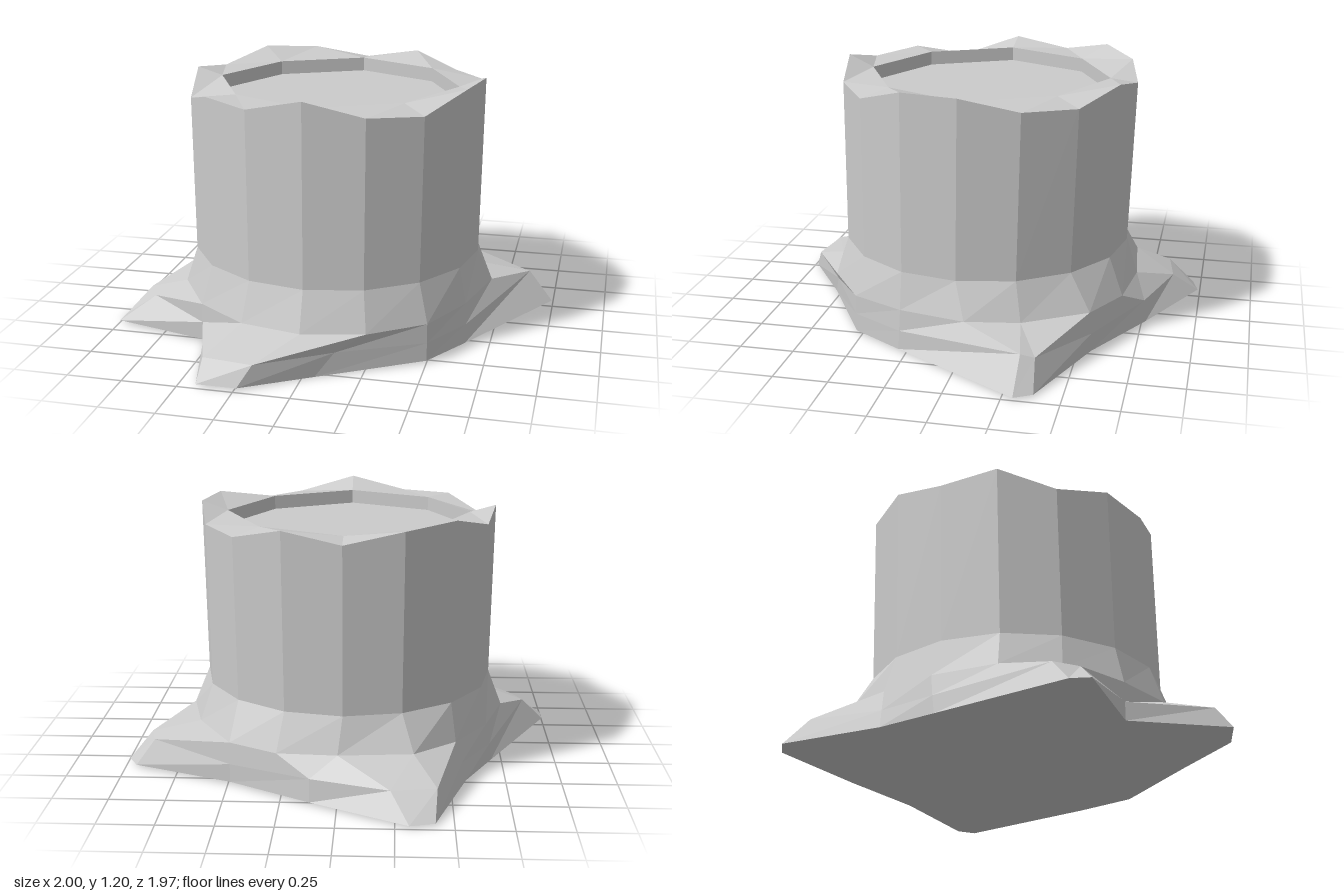
import * as THREE from 'three';

const SIDES = 16;

// Ring of points running counter-clockwise seen from above, starting at the front (+z).
function ring(n, radius, height, cx = -0.02, cz = 0.01) {
  return Array.from({ length: n }, (_, k) => {
    const a = (k / n) * Math.PI * 2;
    const y = Array.isArray(height) ? height[k] : height;
    return [cx + radius * Math.sin(a), y, cz + radius * Math.cos(a)];
  });
}

// Triangles between two rings with equal point counts.
function bridge(a, b) {
  const tris = [];
  a.forEach((p, k) => {
    const n = (k + 1) % a.length;
    tris.push(p, a[n], b[n], p, b[n], b[k]);
  });
  return tris;
}

// Triangles closing a ring towards a centre point.
function cap(a, centre, down = false) {
  return a.flatMap((p, k) => {
    const q = a[(k + 1) % a.length];
    return down ? [q, p, centre] : [p, q, centre];
  });
}

function part(name, tris, material) {
  const geometry = new THREE.BufferGeometry();
  geometry.setAttribute('position', new THREE.Float32BufferAttribute(tris.flat(), 3));
  geometry.computeVertexNormals();
  const mesh = new THREE.Mesh(geometry, material);
  mesh.name = name;
  return mesh;
}

export function createModel() {
  const group = new THREE.Group();
  group.name = 'treeStump';
  const wood = new THREE.MeshStandardMaterial({ color: 0xcccccc, flatShading: true });

  // Footprint with four pointed roots
  const ground = [
    [-0.24, 0.015, 0.98], [0.05, 0.005, 0.78], [0.5, 0.015, 0.53], [0.64, 0.01, 0.29],
    [0.995, 0.015, -0.3], [0.95, 0.015, -0.38], [0.49, 0.015, -0.56], [0.12, 0.015, -0.77],
    [-0.31, 0.015, -0.99], [-0.42, 0.015, -0.96], [-0.57, 0.015, -0.5], [-0.7, 0.015, -0.25],
    [-1, 0.015, 0.32], [-1, 0.015, 0.41], [-0.54, 0.015, 0.53], [-0.42, 0.015, 0.98],
  ];
  // Upper edge of the root tips
  const shoulder = [
    [-0.18, 0.11, 0.94], [0.13, 0.11, 0.74], [0.5, 0.1, 0.53], [0.64, 0.1, 0.285],
    [0.88, 0.16, -0.31], [0.86, 0.14, -0.37], [0.49, 0.1, -0.56], [0.12, 0.12, -0.76],
    [-0.23, 0.12, -0.87], [-0.43, 0.12, -0.84], [-0.55, 0.1, -0.5], [-0.69, 0.1, -0.26],
    [-0.89, 0.14, 0.25], [-0.83, 0.14, 0.36], [-0.54, 0.1, 0.53], [-0.41, 0.11, 0.91],
  ];
  // Collar where the roots meet the trunk
  const collar = [
    [-0.02, 0.19, 0.76], [0.26, 0.19, 0.7], [0.5, 0.19, 0.53], [0.635, 0.2, 0.28],
    [0.72, 0.21, -0.03], [0.66, 0.2, -0.27], [0.49, 0.2, -0.55], [0.27, 0.2, -0.67],
    [0, 0.21, -0.71], [-0.33, 0.21, -0.68], [-0.52, 0.2, -0.5], [-0.67, 0.2, -0.27],
    [-0.76, 0.2, 0.02], [-0.7, 0.2, 0.28], [-0.54, 0.19, 0.53], [-0.3, 0.19, 0.7],
  ];
  const trunkBase = ring(SIDES, 0.675, 0.37, -0.02, 0.02);
  // Uneven sawn edge
  const sawn = ring(SIDES, 0.685, [
    1.2, 1.13, 1.115, 1.19, 1.19, 1.13, 1.12, 1.18,
    1.13, 1.18, 1.2, 1.14, 1.18, 1.09, 1.15, 1.14,
  ], -0.02, 0.005);

  group.add(part('roots', [
    ...bridge(ground, shoulder),
    ...bridge(shoulder, collar),
    ...bridge(collar, trunkBase),
  ], wood));
  group.add(part('underside', cap(ground, [0, 0.01, 0], true), wood));
  group.add(part('trunk', bridge(trunkBase, sawn), wood));

  // Rim from the 16-sided edge to the 8-sided recess
  const lip = ring(8, 0.565, 1.145);
  [1, 3, 5, 7].forEach((k) => { // diagonal corners sit slightly further in
    lip[k][0] = -0.02 + (lip[k][0] + 0.02) * 0.95;
    lip[k][2] = 0.01 + (lip[k][2] - 0.01) * 0.95;
  });
  const rim = [];
  lip.forEach((inner, k) => {
    const next = lip[(k + 1) % 8];
    const [a, b, c] = [sawn[2 * k], sawn[2 * k + 1], sawn[(2 * k + 2) % SIDES]];
    rim.push(a, b, inner, b, c, next, b, next, inner);
  });
  group.add(part('rim', rim, wood));

  // Shallow recess in the cut face
  const floor = lip.map(([x, , z]) => [x, 1.08, z]);
  group.add(part('recessWall', bridge(lip, floor), wood));
  group.add(part('cutFace', cap(floor, [-0.02, 1.08, 0.01]), wood));

  return group;
}
